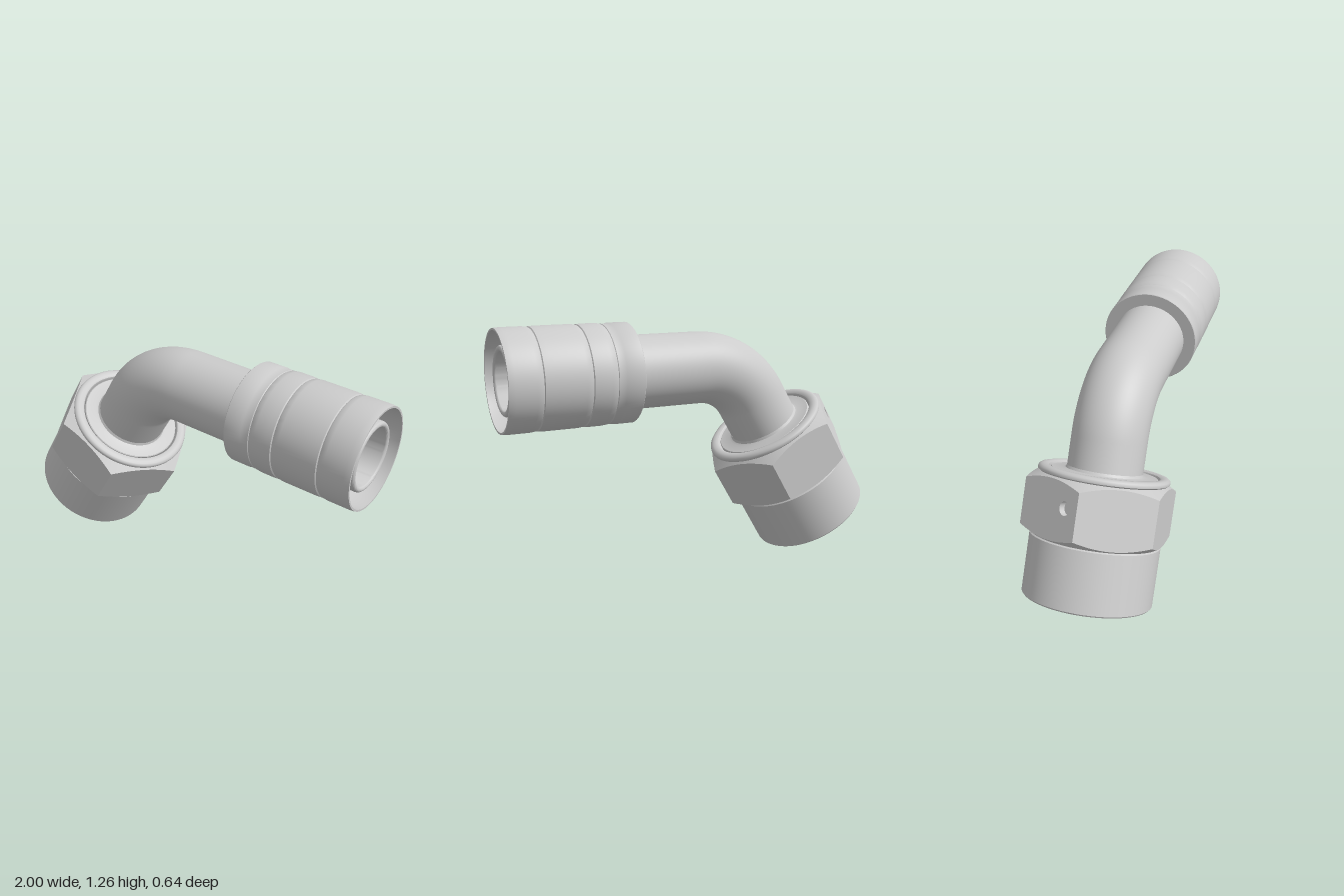
import * as THREE from 'three';
import { toCreasedNormals } from 'three/addons/utils/BufferGeometryUtils.js';

const SEG = 96;
const TILT = Math.PI / 6;           // nut axis leans 30 degrees from vertical
const AXIS_Y = 1.017;               // height of the horizontal leg
const NUT_END = new THREE.Vector3(-0.7275, 0.16, 0);
const PIPE_R = 0.182, BORE_R = 0.137, BEND_R = 0.37;
const FLAT = 0.32;                  // hexagon centre to flat

const grey = new THREE.MeshStandardMaterial({ color: 0xcccccc });
const greyDouble = new THREE.MeshStandardMaterial({ color: 0xcccccc, side: THREE.DoubleSide });

function add(parent, name, geometry, material = grey) {
  const mesh = new THREE.Mesh(geometry, material);
  mesh.name = name;
  parent.add(mesh);
  return mesh;
}

// Revolved profile of [radius, height] pairs: outside upwards, inside downwards
function turned(profile) {
  const points = profile.map(([r, y]) => new THREE.Vector2(r, y));
  return toCreasedNormals(new THREE.LatheGeometry(points, SEG), 0.6);
}

// Centre line: sloped leg, 60 degree arc, horizontal leg
class BentPath extends THREE.Curve {
  constructor(startS, endX) {
    super();
    const tangent = BEND_R * Math.tan(TILT);
    const up = new THREE.Vector3(Math.sin(TILT), Math.cos(TILT), 0);
    const cornerS = (AXIS_Y - NUT_END.y) / up.y;
    this.start = NUT_END.clone().addScaledVector(up, startS);
    this.up = up;
    this.leg = cornerS - tangent - startS;
    this.arc = BEND_R * Math.PI / 3;
    this.bendX = NUT_END.x + cornerS * up.x + tangent;
    this.total = this.leg + this.arc + endX - this.bendX;
  }
  getPoint(t, target = new THREE.Vector3()) {
    const d = t * this.total;
    if (d < this.leg) return target.copy(this.start).addScaledVector(this.up, d);
    const past = d - this.leg - this.arc;
    if (past > 0) return target.set(this.bendX + past, AXIS_Y, 0);
    const a = past / BEND_R;
    return target.set(this.bendX + BEND_R * Math.sin(a), AXIS_Y - BEND_R + BEND_R * Math.cos(a), 0);
  }
}

// Chamfer cones that trim the hexagon
const lowerChamfer = r => 0.3 + (r - 0.315) * 0.6;
const upperChamfer = r => 0.585 - (r - 0.315) * 0.6;

// Cone whose outer rim is pulled in to the hexagon outline
function hexChamfer(cone, rising) {
  const ends = [0.285, 0.4].map(r => new THREE.Vector2(r, cone(r)));
  const geo = new THREE.LatheGeometry(rising ? ends : ends.reverse(), SEG);
  const pos = geo.attributes.position;
  for (let i = 0; i < pos.count; i++) {
    const x = pos.getX(i), z = pos.getZ(i), r = Math.hypot(x, z);
    const sector = Math.PI / 3;
    const phi = Math.atan2(x, z);
    const hexR = FLAT / Math.cos(phi - Math.round(phi / sector) * sector);
    if (r > hexR) pos.setXYZ(i, x * hexR / r, cone(hexR), z * hexR / r);
  }
  geo.computeVertexNormals();
  return toCreasedNormals(geo, 0.6);
}

// One flat of the hexagon with curved chamfer edges, optionally drilled
function hexFlat(hole) {
  const lower = [], upper = [];
  for (let i = -8; i <= 8; i++) {
    const t = FLAT * Math.tan(i * Math.PI * 2 / SEG);
    const r = Math.hypot(FLAT, t);
    lower.push(new THREE.Vector2(t, lowerChamfer(r)));
    upper.unshift(new THREE.Vector2(t, upperChamfer(r)));
  }
  const shape = new THREE.Shape([...lower, ...upper]);
  if (hole) shape.holes.push(new THREE.Path().absarc(hole.x, hole.y, hole.r, 0, Math.PI * 2, true));
  return new THREE.ShapeGeometry(shape, 16);
}

function buildNut() {
  const nut = new THREE.Group();
  nut.name = 'swivelNut';
  nut.position.copy(NUT_END);
  nut.rotation.z = -TILT;

  // Threaded skirt, hollow, ending in a rounded lip
  add(nut, 'nutBody', turned([
    [0.298, 0], [0.309, 0], [0.315, 0.007], [0.315, 0.29], [0.29, 0.31], [0.29, 0.585],
    [0.306, 0.588], [0.315, 0.595], [0.317, 0.603], [0.314, 0.612], [0.305, 0.619], [0.293, 0.622],
    [0.276, 0.621], [0.267, 0.616], [0.263, 0.608], [0.263, 0.3], [0.275, 0.29], [0.275, 0.025], [0.298, 0],
  ]));

  // Hexagon
  const hole = { x: 0.104, y: 0.465, r: 0.032 };
  for (let k = 0; k < 6; k++) {
    const drilled = k === 4;
    const flat = add(nut, 'hexFlat', hexFlat(drilled ? hole : null));
    flat.rotation.y = k * Math.PI / 3;
    flat.geometry.translate(0, 0, FLAT);
    if (drilled) {
      // Blind hole in one flat
      const wall = new THREE.CylinderGeometry(hole.r, hole.r, 0.03, 24, 1, true).rotateX(Math.PI / 2);
      add(flat, 'holeWall', wall.translate(hole.x, hole.y, FLAT - 0.015), greyDouble);
      const floor = new THREE.CircleGeometry(hole.r, 24);
      add(flat, 'holeFloor', floor.translate(hole.x, hole.y, FLAT - 0.03));
    }
  }
  add(nut, 'lowerChamfer', hexChamfer(lowerChamfer, true));
  add(nut, 'upperChamfer', hexChamfer(upperChamfer, false));

  // Seat inside the nut that carries the pipe
  add(nut, 'pipeSeat', turned([
    [BORE_R, 0.25], [0.225, 0.25], [0.257, 0.28], [0.257, 0.607], [0.253, 0.611],
    [0.2, 0.611], [0.188, 0.615], [PIPE_R, 0.627],
  ]), greyDouble);
  return nut;
}

function buildHoseEnd() {
  const end = new THREE.Group();
  end.name = 'hoseEnd';
  end.position.y = AXIS_Y;
  end.rotation.z = -Math.PI / 2;

  // Crimp shell with shallow grooves
  const shell = [[0.165, 0.357], [0.243, 0.357], [0.246, 0.36], [0.246, 0.445], [0.243, 0.45], [0.243, 0.487]];
  for (const [from, to] of [[0.49, 0.61], [0.61, 0.84], [0.84, 1]]) {
    shell.push([0.24, from], [0.244, from + 0.006], [0.247, from + 0.03], [0.247, to - 0.03], [0.245, to - 0.004]);
  }
  shell.push([0.244, 1], [0.235, 1], [0.233, 0.86], [0.22, 0.84], [0.22, 0.42], [0.15, 0.42]);
  add(end, 'crimpShell', turned(shell));

  // Nipple with a rounded tip
  const nipple = [[0.166, 0.4]];
  for (let i = 0; i <= 10; i++) {
    const a = i * Math.PI / 10;
    nipple.push([0.1515 + 0.0145 * Math.cos(a), 0.965 + 0.0145 * Math.sin(a)]);
  }
  nipple.push([BORE_R, 0.4]);
  add(end, 'nipple', turned(nipple));
  return end;
}

export function createModel() {
  const model = new THREE.Group();
  model.name = 'elbowHoseFitting';
  add(model, 'bentPipe', new THREE.TubeGeometry(new BentPath(0.3, 0.41), 80, PIPE_R, 64));
  add(model, 'pipeBore', new THREE.TubeGeometry(new BentPath(0.25, 0.42), 80, BORE_R, 64), greyDouble);
  model.add(buildNut(), buildHoseEnd());
  return model;
}
